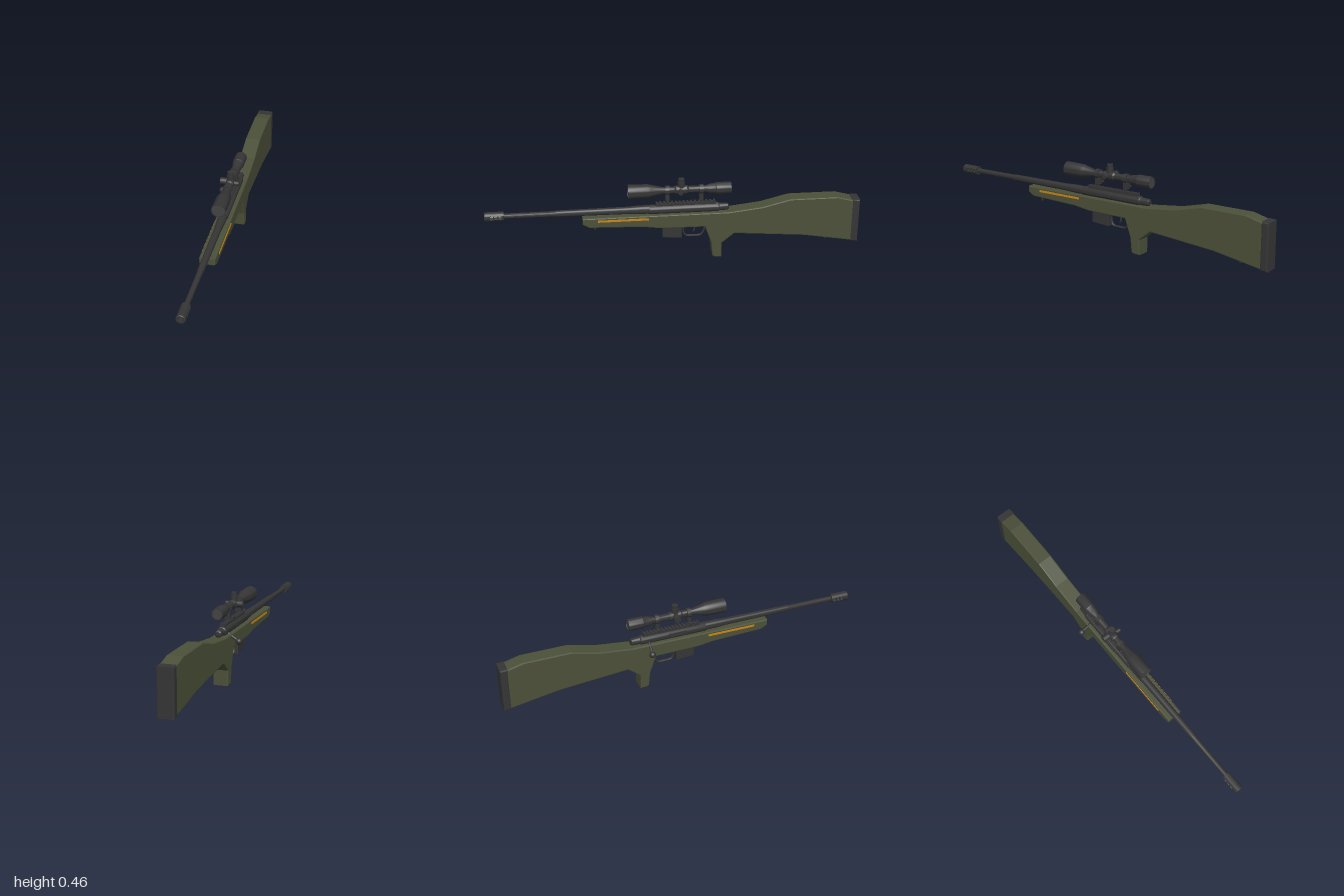
import * as THREE from 'three';
import { toCreasedNormals } from 'three/addons/utils/BufferGeometryUtils.js';
import { RoundedBoxGeometry } from 'three/addons/geometries/RoundedBoxGeometry.js';

const CX = 0.025;     // centre plane of the whole rifle
const BORE_Y = 0.287; // barrel axis height
const SCOPE_Y = 0.393; // scope axis height

export function createModel() {
  const model = new THREE.Group();
  const mat = (name, color) => {
    const m = new THREE.MeshStandardMaterial({ color });
    m.name = name;
    return m;
  };
  const green = mat('olive stock', 0x4b5039);
  const metal = mat('gunmetal', 0x353536);
  const glass = mat('lens grey', 0x434344);
  const orange = mat('orange accent', 0xc98514);

  const add = (name, geo, material, x = 0, y = 0, z = 0) => {
    const mesh = new THREE.Mesh(geo, material);
    mesh.name = name;
    mesh.position.set(x, y, z);
    model.add(mesh);
    return mesh;
  };
  // turned part along z from [radius, z] points, rear to front
  const turned = (name, y, pts, material = metal) => {
    const geo = new THREE.LatheGeometry(pts.map(([r, z]) => new THREE.Vector2(r, z)), 28);
    geo.rotateX(Math.PI / 2);
    return add(name, toCreasedNormals(geo, 0.5), material, CX, y, 0);
  };
  // side outline of [z, y] points, extruded across x with bevelled edges
  const slab = (name, pts, width, bevel, material) => {
    const shape = new THREE.Shape(pts.map(([z, y]) => new THREE.Vector2(z, y)));
    const geo = new THREE.ExtrudeGeometry(shape, {
      depth: width - 2 * bevel, bevelEnabled: true, bevelSize: bevel,
      bevelThickness: bevel, bevelOffset: -bevel, bevelSegments: 2,
    });
    geo.translate(0, 0, -(width - 2 * bevel) / 2).rotateY(-Math.PI / 2);
    return add(name, geo, material, CX);
  };
  const box = (name, w, h, d, x, y, z, material = metal) =>
    add(name, new THREE.BoxGeometry(w, h, d), material, x, y, z);

  // stock with forend, grip and butt
  slab('stock', [
    [0.49, 0.267], [0.49, 0.232], [0.455, 0.212], [0.17, 0.203], [0.08, 0.19],
    [-0.16, 0.187], [-0.195, 0.09], [-0.203, 0.012], [-0.213, 0.003], [-0.252, 0.001],
    [-0.252, 0.085], [-0.32, 0.14], [-0.70, 0.108], [-0.968, 0.063],
    [-0.968, 0.302], [-0.875, 0.326], [-0.62, 0.326], [-0.47, 0.288], [-0.29, 0.267],
  ], 0.084, 0.006, green);
  slab('buttPad', [[-0.96, 0.062], [-0.96, 0.308], [-1.0, 0.305], [-1.0, 0.056]], 0.088, 0.006, metal);
  for (const s of [-1, 1]) {
    box('forendStripe', 0.005, 0.011, 0.27, CX + s * 0.0425, 0.249, 0.275, orange);
  }

  // barrel and receiver
  turned('barrel', BORE_Y, [
    [0, 0.1], [0.023, 0.1], [0.023, 0.19], [0.0195, 0.25], [0.017, 0.62], [0.0145, 0.64], [0.0135, 0.9], [0, 0.9],
  ]);
  turned('receiver', BORE_Y - 0.002, [
    [0, -0.292], [0.012, -0.292], [0.019, -0.286], [0.021, -0.24], [0.026, -0.235], [0.026, 0.13], [0.022, 0.14], [0, 0.14],
  ]);
  box('ejectionPort', 0.006, 0.02, 0.1, CX - 0.025, 0.288, -0.03);

  // muzzle brake: solid rings joined by top and bottom arcs, open at the sides
  const ring = (z0, z1, a0, a1) => {
    const shape = new THREE.Shape();
    const full = a1 - a0 > 6;
    shape.absarc(0, 0, 0.0245, a0, a1, false);
    if (full) {
      const hole = new THREE.Path();
      hole.absarc(0, 0, 0.012, 0, Math.PI * 2, true);
      shape.holes.push(hole);
    } else {
      shape.absarc(0, 0, 0.012, a1, a0, true);
      shape.closePath();
    }
    const geo = new THREE.ExtrudeGeometry(shape, { depth: z1 - z0, bevelEnabled: false, curveSegments: 24 });
    add('muzzleBrake', toCreasedNormals(geo, 0.5), metal, CX, BORE_Y, z0);
  };
  for (const [z0, z1] of [[0.898, 0.91], [0.926, 0.932], [0.948, 0.954], [0.97, 0.997]]) ring(z0, z1, 0, Math.PI * 2);
  for (const a of [0, Math.PI]) ring(0.91, 0.97, a + 0.45, a + Math.PI - 0.45);
  turned('muzzleCrown', BORE_Y, [[0.0245, 0.997], [0.022, 1.0], [0.012, 1.0], [0.012, 0.997]]);

  // toothed rail on the receiver
  box('railBase', 0.026, 0.013, 0.32, CX, 0.311, -0.06);
  for (let i = 0; i < 16; i++) box('railTooth', 0.032, 0.008, 0.011, CX, 0.32, 0.094 - i * 0.0205);

  // bolt handle on the right side
  const root = new THREE.Vector3(0.012, 0.274, -0.19);
  const knob = new THREE.Vector3(-0.056, 0.231, -0.195);
  add('boltHandle', new THREE.TubeGeometry(new THREE.LineCurve3(root, knob), 1, 0.0075, 12), metal);
  add('boltKnob', new THREE.SphereGeometry(0.0175, 20, 14), metal, knob.x, knob.y, knob.z);

  // magazine, trigger and guard
  slab('magazine', [[0.066, 0.2], [0.066, 0.125], [-0.038, 0.118], [-0.038, 0.2]], 0.045, 0.004, metal);
  const guardPath = new THREE.CatmullRomCurve3([
    [0.2, -0.046], [0.145, -0.049], [0.125, -0.062], [0.122, -0.1], [0.124, -0.14], [0.145, -0.157], [0.195, -0.168],
  ].map(([y, z]) => new THREE.Vector3(0, y, z)));
  const guard = add('triggerGuard', new THREE.TubeGeometry(guardPath, 32, 0.005, 8), metal, CX);
  guard.scale.x = 1.8;
  const triggerPath = new THREE.QuadraticBezierCurve3(
    new THREE.Vector3(0, 0.2, -0.098), new THREE.Vector3(0, 0.168, -0.116), new THREE.Vector3(0, 0.146, -0.103));
  add('trigger', new THREE.TubeGeometry(triggerPath, 10, 0.005, 8), metal, CX);

  // sling studs
  for (const [y, z] of [[0.2, 0.425], [0.08, -0.83]]) {
    add('slingStud', new THREE.CylinderGeometry(0.006, 0.006, 0.03, 12), metal, CX, y, z);
  }

  // scope tube with bells and lenses
  turned('scopeBody', SCOPE_Y, [
    [0, -0.296], [0.027, -0.296], [0.027, -0.302], [0.031, -0.302], [0.032, -0.297], [0.032, -0.222], [0.028, -0.215],
    [0.026, -0.19], [0.0185, -0.165], [0.0185, 0.065], [0.033, 0.125], [0.037, 0.14], [0.0385, 0.24],
    [0.0385, 0.246], [0.035, 0.246], [0.035, 0.241], [0, 0.241],
  ]);
  const lens = (r, z, flip) => {
    const m = add('lens', new THREE.CircleGeometry(r, 28), glass, CX, SCOPE_Y, z);
    if (flip) m.rotation.y = Math.PI;
  };
  lens(0.035, 0.243, false);
  lens(0.027, -0.298, true);

  // turret block with elevation, windage and focus knobs
  turned('turretBlock', SCOPE_Y, [[0.0185, -0.075], [0.024, -0.066], [0.024, -0.008], [0.0185, 0.0]]);
  const dial = (name, r, from, to, dir, z) => {
    const geo = new THREE.CylinderGeometry(r, r, to - from, 20);
    geo.translate(0, (from + to) / 2, 0).rotateZ(dir);
    add(name, geo, metal, CX, SCOPE_Y, z);
  };
  dial('elevationBase', 0.0195, 0, 0.044, 0, -0.037);
  dial('elevationCap', 0.0165, 0.044, 0.063, 0, -0.037);
  dial('focusKnob', 0.018, 0, 0.054, Math.PI / 2, -0.04);
  dial('windageKnob', 0.0125, 0, 0.047, -Math.PI / 2, -0.03);

  // scope rings with feet and clamp nuts
  for (const z of [0.038, -0.143]) {
    turned('scopeRing', SCOPE_Y, [[0.0185, z - 0.011], [0.026, z - 0.011], [0.026, z + 0.011], [0.0185, z + 0.011]]);
    box('ringFoot', 0.034, 0.036, 0.022, CX, 0.354, z);
    add('clampNut', new RoundedBoxGeometry(0.012, 0.012, 0.014, 2, 0.002), metal, -0.008, 0.345, z);
  }
  return model;
}
